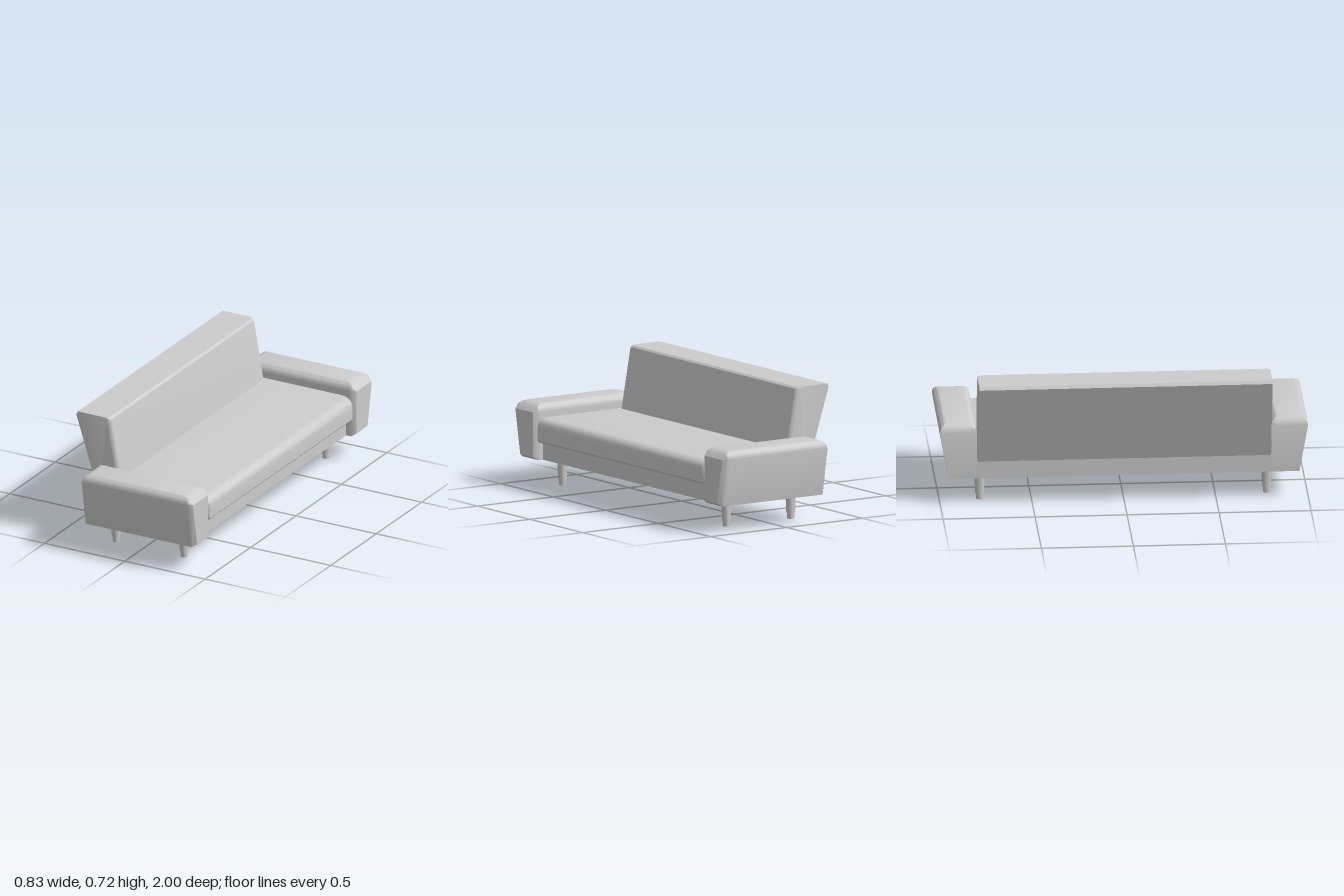
import * as THREE from 'three';
import { toCreasedNormals } from 'three/addons/utils/BufferGeometryUtils.js';

const material = new THREE.MeshStandardMaterial({ color: 0xcccccc });

function mesh(name, geometry, parent) {
  const m = new THREE.Mesh(geometry, material);
  m.name = name;
  parent.add(m);
  return m;
}

// Closed solid through a row of cross-sections with equal point counts
function loft(sections) {
  const n = sections[0].length;
  const tris = [];
  const volume = (a, b, c) => a.dot(b.clone().cross(c));
  for (let s = 0; s < sections.length - 1; s++) {
    for (let i = 0; i < n; i++) {
      const j = (i + 1) % n;
      const [a, b, c, d] = [sections[s][i], sections[s][j], sections[s + 1][j], sections[s + 1][i]];
      tris.push([a, b, c], [a, c, d]);
    }
  }
  const last = sections[sections.length - 1];
  for (let i = 1; i < n - 1; i++) {
    tris.push([sections[0][0], sections[0][i + 1], sections[0][i]], [last[0], last[i], last[i + 1]]);
  }
  // Turn the faces outward whichever way the sections run, and drop collapsed ones
  const outward = tris.reduce((v, t) => v + volume(...t), 0) > 0;
  const points = [];
  for (const [a, b, c] of tris) {
    if (b.clone().sub(a).cross(c.clone().sub(a)).length() < 1e-9) continue;
    points.push(...(outward ? [a, b, c] : [a, c, b]));
  }
  return toCreasedNormals(new THREE.BufferGeometry().setFromPoints(points), 0.6);
}

// Quarter-ellipse points between two angles (degrees)
function arc(cx, cy, rx, ry, from, to, steps = 6) {
  return Array.from({ length: steps + 1 }, (_, i) => {
    const a = THREE.MathUtils.degToRad(from + ((to - from) * i) / steps);
    return [cx + rx * Math.cos(a), cy + ry * Math.sin(a)];
  });
}

// Armrest: flared outer side, rounded top, bevelled front
function armGeometry(side) {
  const profile = [
    [0.8, 0.147], [0.953, 0.147],
    ...arc(0.96, 0.41, 0.04, 0.045, 0, 90),
    ...arc(0.84, 0.41, 0.04, 0.045, 90, 180),
  ];
  // x, drop of the top, inset of the outline
  const stations = [
    [-0.27, 0.045, 0], [-0.264, 0.022, 0], [-0.25, 0.007, 0], [-0.225, 0, 0],
    [0.35, 0, 0], [0.372, 0.006, 0], [0.39, 0.016, 0], [0.415, 0.045, 0.016],
  ];
  return loft(stations.map(([x, drop, inset]) => profile.map(([z, y]) => new THREE.Vector3(
    x,
    Math.max(Math.min(y, 0.455 - drop), 0.147 + inset),
    side * (z + (z < 0.9 ? inset : -inset)),
  ))));
}

// Cushions run along z; their front edge is pulled in near both ends
function cushionGeometry(profile, radius, frontFrom) {
  const steps = 5;
  const stations = [];
  for (let i = 0; i <= steps; i++) {
    const a = (i / steps) * Math.PI / 2;
    stations.push([0.797 - radius * (1 - Math.sin(a)), radius * (1 - Math.cos(a))]);
  }
  const all = [...stations.map(([z, p]) => [-z, p]).reverse(), ...stations];
  all.sort((a, b) => a[0] - b[0]);
  return loft(all.map(([z, pull]) => profile.map(([x, y]) =>
    new THREE.Vector3(frontFrom(x, y) ? x - pull : x, y, z))));
}

export function createModel() {
  const sofa = new THREE.Group();
  sofa.name = 'sofa';

  // Base frame, set back under the seat
  const base = mesh('base', new THREE.BoxGeometry(0.63, 0.105, 1.604), sofa);
  base.position.set(0.045, 0.1995, 0);

  // Seat cushion with a rolled front edge
  const seatProfile = [
    [-0.22, 0.248], [0.4, 0.248], [0.411, 0.26],
    ...arc(0.358, 0.33, 0.053, 0.05, 0, 90),
    [-0.22, 0.38],
  ];
  mesh('seatCushion', cushionGeometry(seatProfile, 0.025, (x) => x > 0.3), sofa);

  // Leaning wedge-shaped backrest, thicker at the top
  const backProfile = [
    [-0.27, 0.243], [-0.12, 0.243],
    [-0.201, 0.7], [-0.205, 0.713], [-0.218, 0.722],
    [-0.408, 0.722], [-0.418, 0.705],
  ];
  mesh('backrest', cushionGeometry(backProfile, 0.026, (x) => x > -0.25), sofa);

  // Armrests
  for (const side of [1, -1]) {
    mesh(side > 0 ? 'armFrontSide' : 'armBackSide', armGeometry(side), sofa);
  }

  // Tapered legs with a stepped foot
  const legProfile = [
    [0, 0], [0.019, 0], [0.021, 0.035], [0.024, 0.035], [0.029, 0.15], [0, 0.15],
  ].map(([r, y]) => new THREE.Vector2(r, y));
  const legGeometry = toCreasedNormals(new THREE.LatheGeometry(legProfile, 20), 0.6);
  for (const x of [0.245, -0.179]) {
    for (const z of [0.78, -0.78]) {
      mesh('leg', legGeometry, sofa).position.set(x, 0, z);
    }
  }

  return sofa;
}
